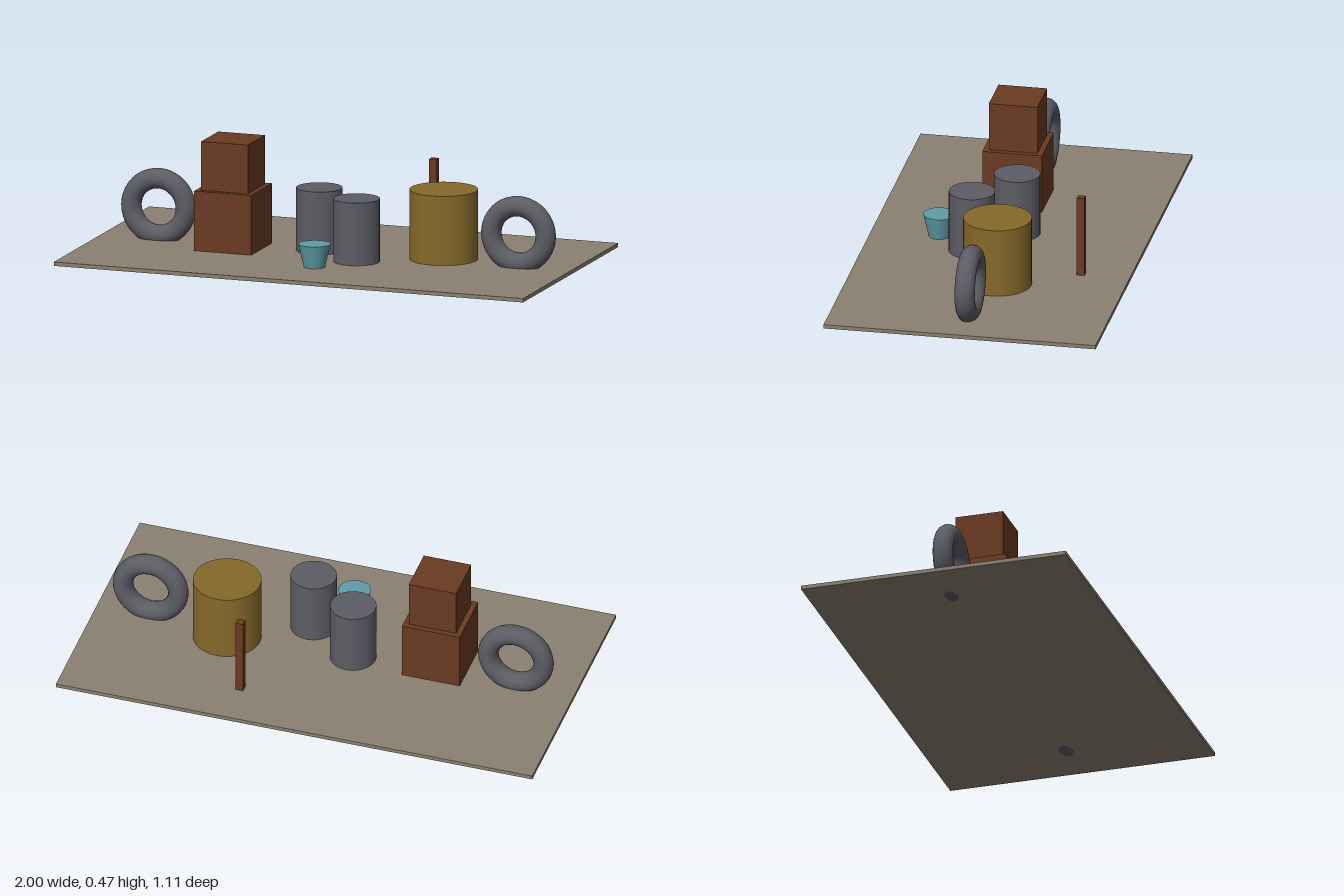
import * as THREE from 'three';

export function createModel() {
  const group = new THREE.Group();
  const mat = (name, color) => {
    const m = new THREE.MeshStandardMaterial({ color });
    m.name = name;
    return m;
  };
  const ground = mat('dusty ground', 0x8a8072);
  const wood = mat('brown wood', 0x6b3a22);
  const steel = mat('grey steel', 0x5c5c64);
  const ochre = mat('ochre paint', 0x86692a);
  const teal = mat('teal plastic', 0x5f9ca8);

  const FLOOR = 0.025; // top of the base slab

  const add = (name, geometry, material, x, y, z) => {
    const mesh = new THREE.Mesh(geometry, material);
    mesh.name = name;
    mesh.position.set(x, y, z);
    group.add(mesh);
  };
  // Upright parts are given by their bottom and top heights
  const box = (name, material, x, z, width, y0, y1, depth = width) =>
    add(name, new THREE.BoxGeometry(width, y1 - y0, depth), material, x, (y0 + y1) / 2, z);
  const round = (name, material, x, z, rTop, rBottom, y1) =>
    add(name, new THREE.CylinderGeometry(rTop, rBottom, y1 - FLOOR, 32), material, x, (FLOOR + y1) / 2, z);

  // Base slab
  box('baseSlab', ground, 0, 0, 2, 0.009, FLOOR, 1.11);

  // Standing tyres, sunk slightly through the slab
  for (const [name, x] of [['rightTyre', -0.756], ['leftTyre', 0.778]]) {
    add(name, new THREE.TorusGeometry(0.116, 0.041, 20, 40), steel, x, 0.157, 0);
  }

  // Stacked crates
  box('lowerCrate', wood, -0.423, 0.043, 0.243, FLOOR, 0.27);
  box('upperCrate', wood, -0.423, 0.043, 0.199, 0.27, 0.47);

  // Drums, large barrel and tapered bucket
  round('rearDrum', steel, -0.079, -0.022, 0.093, 0.093, 0.282);
  round('frontDrum', steel, 0.132, 0.121, 0.093, 0.093, 0.282);
  round('largeBarrel', ochre, 0.443, -0.045, 0.138, 0.138, 0.309);
  round('bucket', teal, 0.01, 0.278, 0.065, 0.043, 0.119);

  // Thin post
  box('post', wood, 0.288, -0.356, 0.031, FLOOR, 0.359);

  return group;
}
